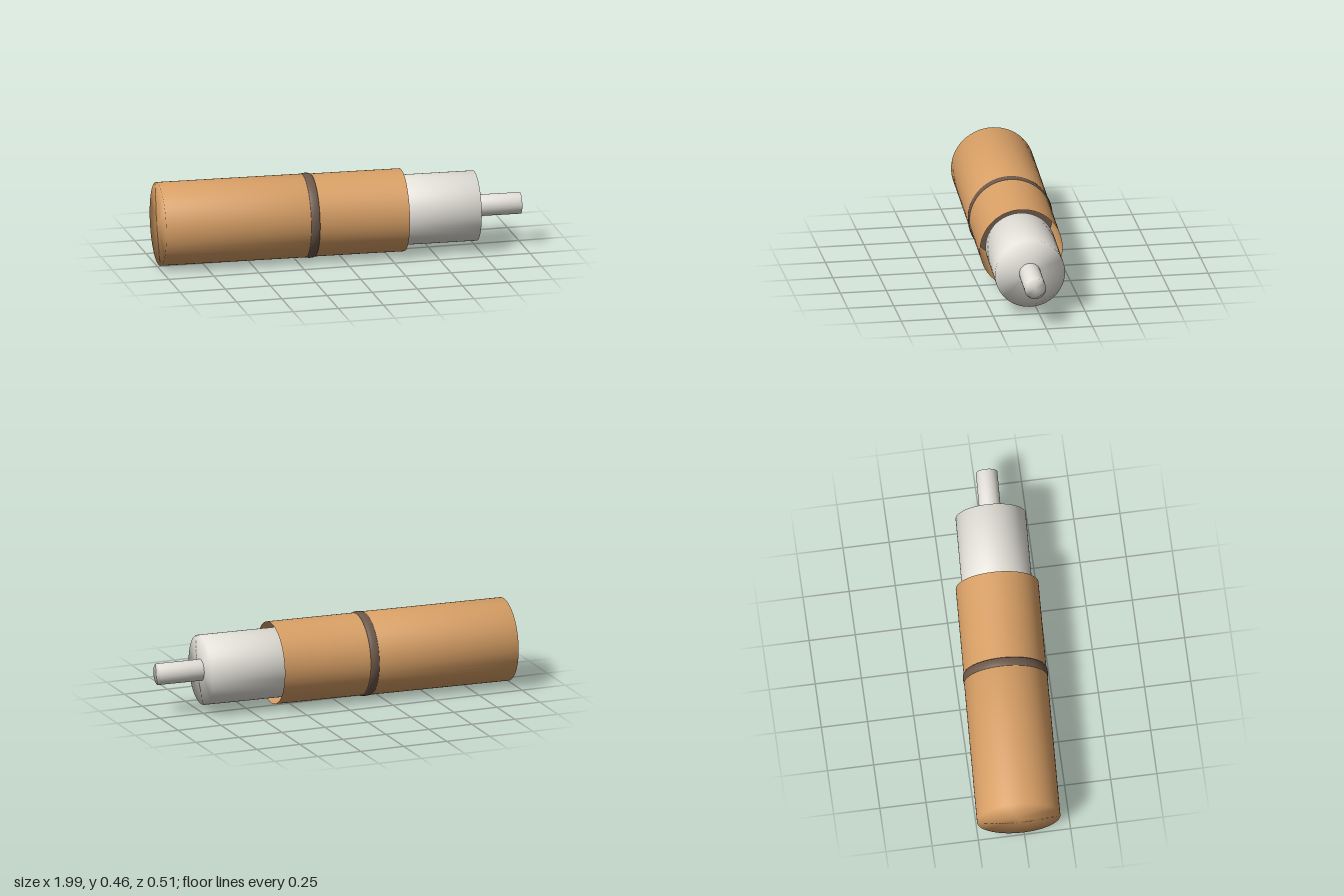
import * as THREE from 'three';
import { mergeVertices } from 'three/addons/utils/BufferGeometryUtils.js';

const SEGMENTS = 64;

// Share vertices across edges so the shading runs smoothly over the ends
function smooth(geometry) {
  geometry.deleteAttribute('normal');
  geometry.deleteAttribute('uv');
  const merged = mergeVertices(geometry, 1e-5);
  merged.computeVertexNormals();
  return merged;
}

export function createModel() {
  const model = new THREE.Group();
  model.name = 'cylinderAssembly';

  const casing = new THREE.MeshStandardMaterial({ color: 0xd9a066, side: THREE.DoubleSide });
  const band = new THREE.MeshStandardMaterial({ color: 0x6e5a4c });
  const metal = new THREE.MeshStandardMaterial({ color: 0xe5e2da });

  // All parts are turned around one axis, laid along x and yawed slightly
  const axis = new THREE.Group();
  axis.name = 'axis';
  axis.position.set(0, 0.229, 0.015);
  axis.rotation.set(0, -0.0455, -Math.PI / 2, 'YXZ');
  model.add(axis);

  function addRod(name, radius, from, to, material, open = false) {
    const geometry = new THREE.CylinderGeometry(radius, radius, to - from, SEGMENTS, 1, open);
    const mesh = new THREE.Mesh(smooth(geometry), material);
    mesh.name = name;
    mesh.position.y = (from + to) / 2;
    axis.add(mesh);
  }

  // Closed rear body, open front sleeve, inner barrel and tip
  addRod('rearBody', 0.225, -0.99, -0.19, casing);
  addRod('frontSleeve', 0.223, -0.16, 0.345, casing, true);
  addRod('innerBarrel', 0.189, 0.3, 0.745, metal);
  addRod('tip', 0.058, 0.735, 0.994, metal);

  // Joint band with softly rounded edges, closing off the sleeve
  const profile = [
    [0, -0.2], [0.222, -0.2], [0.227, -0.192], [0.229, -0.172],
    [0.227, -0.153], [0.222, -0.145], [0, -0.145],
  ].map(([r, y]) => new THREE.Vector2(r, y));
  const ring = new THREE.Mesh(smooth(new THREE.LatheGeometry(profile, SEGMENTS)), band);
  ring.name = 'jointBand';
  axis.add(ring);

  return model;
}
